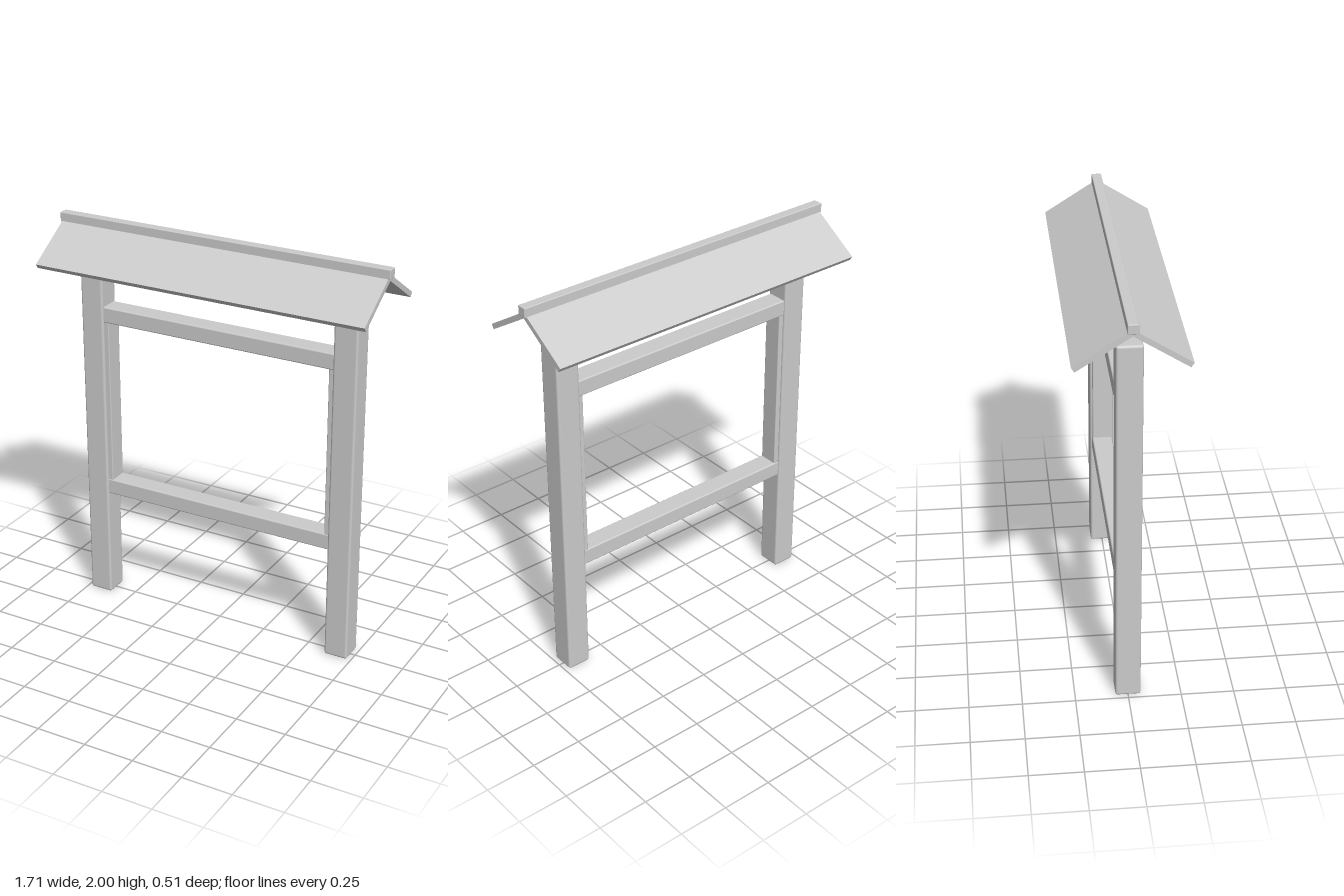
import * as THREE from 'three';
import { RoundedBoxGeometry } from 'three/addons/geometries/RoundedBoxGeometry.js';

export function createModel() {
  const group = new THREE.Group();
  const material = new THREE.MeshStandardMaterial({ color: 0xcccccc });

  function add(name, geometry, x = 0, y = 0, z = 0) {
    const mesh = new THREE.Mesh(geometry, material);
    mesh.name = name;
    mesh.position.set(x, y, z);
    group.add(mesh);
    return mesh;
  }
  // Beam with softened edges
  const beam = (w, h, d, r) => new RoundedBoxGeometry(w, h, d, 2, r);

  // Upright posts and the thin stiles lining their inner sides
  for (const [side, s] of [['left', 1], ['right', -1]]) {
    add(side + 'Post', beam(0.12, 1.84, 0.12, 0.012), s * 0.67, 0.92);
    add(side + 'Stile', beam(0.08, 0.94, 0.095, 0.005), s * 0.626, 1.07);
  }

  // Horizontal rails of the open frame
  add('lowerRail', beam(1.27, 0.08, 0.1, 0.007), 0, 0.61);
  add('upperRail', beam(1.27, 0.08, 0.1, 0.007), 0, 1.53);

  // Sloping roof panels, mitred where they meet under the ridge
  for (const [side, s] of [['front', 1], ['back', -1]]) {
    const profile = new THREE.Shape([
      [0, 1.942], [0.243, 1.788], [0.257, 1.809], [0, 1.972],
    ].map(([z, y]) => new THREE.Vector2(-s * z, y)));
    const panel = new THREE.ExtrudeGeometry(profile, { depth: 1.69, bevelEnabled: false });
    panel.translate(0, 0, -0.845);
    panel.rotateY(Math.PI / 2); // run the profile along x
    add(side + 'RoofPanel', panel);
  }

  // Ridge cap along the top
  add('ridgeCap', beam(1.71, 0.047, 0.048, 0.004), 0, 1.9765);

  return group;
}
